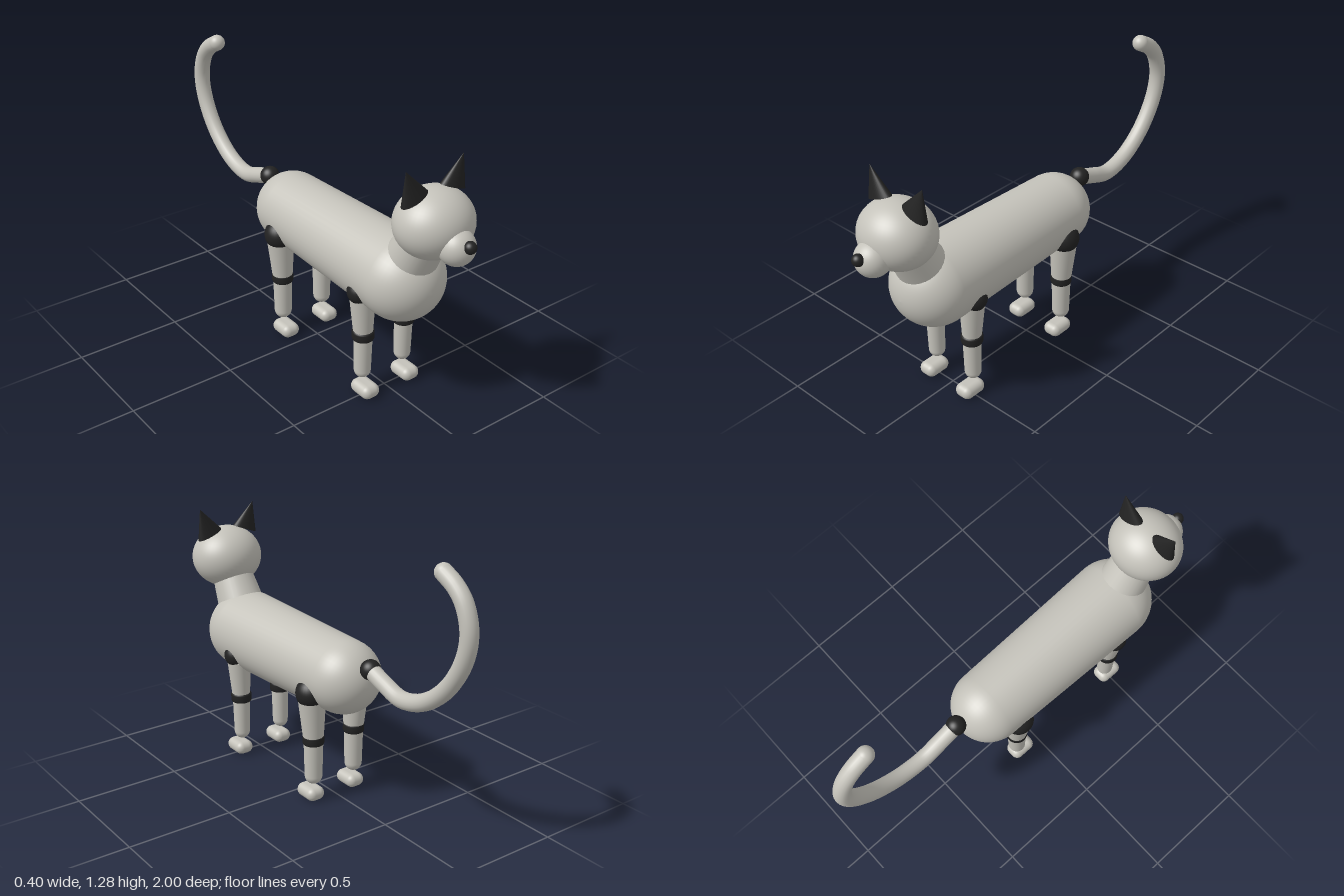
import * as THREE from 'three';
import { RoundedBoxGeometry } from 'three/addons/geometries/RoundedBoxGeometry.js';

const fur = new THREE.MeshStandardMaterial({ color: 0xc4c2ba });
fur.name = 'pale grey';
const dark = new THREE.MeshStandardMaterial({ color: 0x222222 });
dark.name = 'charcoal';

const V = (x, y, z) => new THREE.Vector3(x, y, z);

function add(parent, name, geometry, material, position) {
  const mesh = new THREE.Mesh(geometry, material);
  mesh.name = name;
  mesh.position.copy(position);
  parent.add(mesh);
  return mesh;
}

const ball = (r) => new THREE.SphereGeometry(r, 32, 24);

// Capsule along +y with a different radius at each end; end centres at y = 0 and y = length
function taperedCapsule(r0, r1, length, segments = 32) {
  const points = [];
  const n = 14;
  for (let i = 0; i <= n; i++) {
    const a = (i / n) * Math.PI / 2;
    points.push(new THREE.Vector2(r0 * Math.sin(a), -r0 * Math.cos(a)));
  }
  for (let i = 0; i <= n; i++) {
    const a = (i / n) * Math.PI / 2;
    points.push(new THREE.Vector2(r1 * Math.cos(a), length + r1 * Math.sin(a)));
  }
  return new THREE.LatheGeometry(points, segments);
}

// Tapered cylinder running from point a (radius ra) to point b (radius rb)
function limb(parent, name, a, b, ra, rb) {
  const axis = b.clone().sub(a);
  const geometry = new THREE.CylinderGeometry(rb, ra, axis.length(), 32);
  const mesh = add(parent, name, geometry, fur, a.clone().add(b).multiplyScalar(0.5));
  mesh.quaternion.setFromUnitVectors(V(0, 1, 0), axis.normalize());
  return mesh;
}

// Band with softened edges for the knee
function kneeBand(r, h) {
  const b = 0.01;
  const profile = [
    [0, -h], [r - b, -h], [r - b * 0.3, -h + b * 0.3], [r, -h + b],
    [r, h - b], [r - b * 0.3, h - b * 0.3], [r - b, h], [0, h],
  ].map(([x, y]) => new THREE.Vector2(x, y));
  return new THREE.LatheGeometry(profile, 32);
}

function buildLeg(name, side, z, o) {
  const leg = new THREE.Group();
  leg.name = name;
  const x = side * 0.115;
  add(leg, 'hipJoint', ball(o.joint), dark, V(side * o.jointX, o.jointY, z));
  limb(leg, 'upperLeg', V(x, 0.31, z), V(side * 0.123, 0.5, z), o.upperBottom, o.upperTop);
  add(leg, 'kneeBand', kneeBand(0.05, 0.024), dark, V(x, 0.306, z));
  add(leg, 'lowerLeg', taperedCapsule(o.ankle, o.ankle + 0.004, 0.17), fur, V(x, 0.083 + o.ankle, z));
  add(leg, 'paw', new RoundedBoxGeometry(0.09, 0.064, 0.126, 5, 0.031), fur, V(x, 0.032, z + 0.022));
  return leg;
}

export function createModel() {
  const model = new THREE.Group();
  model.name = 'cat';

  // Torso: wide at the chest, slimmer at the rump
  const torso = add(model, 'torso', taperedCapsule(0.171, 0.192, 0.775, 48), fur, V(0, 0.609, -0.19));
  torso.rotation.x = Math.PI / 2 + 0.005;

  // Neck and head
  limb(model, 'neck', V(0, 0.715, 0.64), V(0, 0.9, 0.745), 0.114, 0.092);
  const head = new THREE.Group();
  head.name = 'head';
  model.add(head);
  add(head, 'skull', new THREE.SphereGeometry(1, 48, 32), fur, V(0, 0.94, 0.765)).scale.set(0.174, 0.15, 0.16);
  add(head, 'muzzle', ball(0.079), fur, V(0, 0.887, 0.899));
  add(head, 'nose', ball(0.027), dark, V(0, 0.915, 0.973));

  // Flattened cone ears, leaning outward
  for (const side of [-1, 1]) {
    const ear = add(head, side > 0 ? 'leftEar' : 'rightEar',
      new THREE.ConeGeometry(0.067, 0.14, 32), dark, V(side * 0.125, 1.13, 0.755));
    ear.scale.z = 0.5;
    ear.rotation.z = -side * 0.365;
  }

  // Legs
  const front = { joint: 0.057, jointX: 0.138, jointY: 0.53, upperTop: 0.057, upperBottom: 0.043, ankle: 0.038 };
  const back = { joint: 0.072, jointX: 0.126, jointY: 0.537, upperTop: 0.063, upperBottom: 0.047, ankle: 0.041 };
  for (const side of [-1, 1]) {
    const label = side > 0 ? 'Left' : 'Right';
    model.add(buildLeg('front' + label + 'Leg', side, 0.483, front));
    model.add(buildLeg('back' + label + 'Leg', side, -0.12, back));
  }

  // Tail: dark root joint, curved tube and rounded tip
  add(model, 'tailRoot', ball(0.046), dark, V(0, 0.7, -0.378));
  const path = new THREE.CatmullRomCurve3([
    [0.7, -0.38], [0.665, -0.475], [0.635, -0.583], [0.668, -0.717], [0.77, -0.85],
    [0.914, -0.94], [1.037, -0.962], [1.144, -0.93], [1.203, -0.877], [1.243, -0.807],
  ].map(([y, z]) => V(0, y, z)));
  add(model, 'tail', new THREE.TubeGeometry(path, 80, 0.038, 20), fur, V(0, 0, 0));
  add(model, 'tailTip', ball(0.038), fur, path.getPoint(1));

  return model;
}
